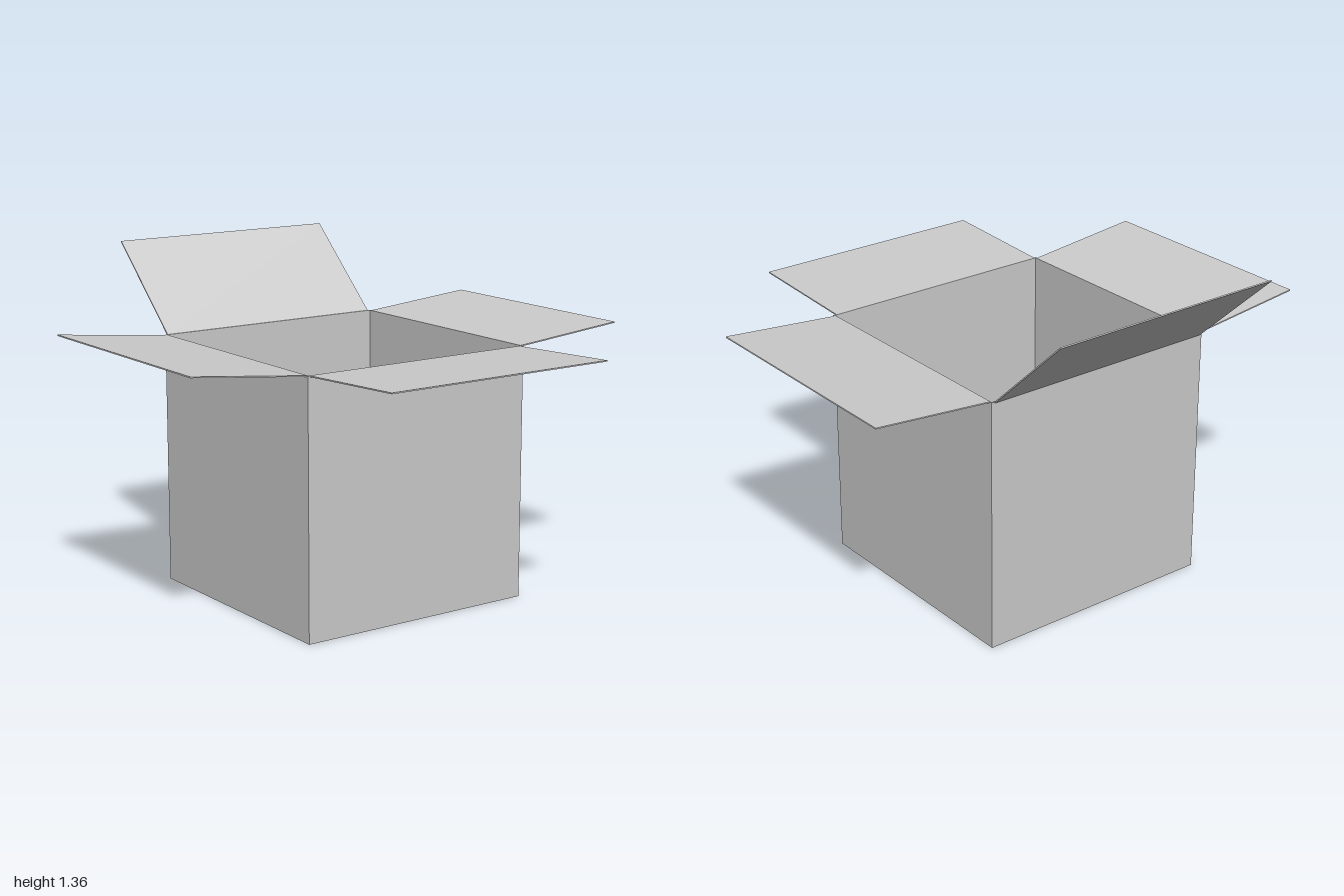
import * as THREE from 'three';

const material = new THREE.MeshStandardMaterial({ color: 0xcccccc, flatShading: true });
const T = 0.005; // cardboard thickness
const X0 = -0.511, X1 = 0.508, Z0 = -0.577, Z1 = 0.441, TOP = 1.025;

// Sheet of cardboard filling the given bounds
function panel(name, x0, x1, y0, y1, z0, z1) {
  const mesh = new THREE.Mesh(new THREE.BoxGeometry(x1 - x0, y1 - y0, z1 - z0), material);
  mesh.name = name;
  mesh.position.set((x0 + x1) / 2, (y0 + y1) / 2, (z0 + z1) / 2);
  return mesh;
}

// Flap hinged at a rim point: yaw turns it outward, rise tilts its free end up
function flap(name, x, z, yaw, rise, length = 0.497, width = 0.995) {
  const geometry = new THREE.BoxGeometry(width, T, length);
  geometry.translate(0, 0, length / 2);
  geometry.rotateX(-rise);
  const mesh = new THREE.Mesh(geometry, material);
  mesh.name = name;
  mesh.position.set(x, TOP - T / 2, z);
  mesh.rotation.y = yaw;
  return mesh;
}

export function createModel() {
  const box = new THREE.Group();
  box.name = 'openCardboardBox';

  // Floor and four walls
  box.add(
    panel('floor', X0, X1, 0, T, Z0, Z1),
    panel('frontWall', X0, X1, T, TOP, Z1 - T, Z1),
    panel('backWall', X0, X1, T, TOP, Z0, Z0 + T),
    panel('leftWall', X1 - T, X1, T, TOP, Z0 + T, Z1 - T),
    panel('rightWall', X0, X0 + T, T, TOP, Z0 + T, Z1 - T),
  );

  // Flaps folded open at slightly different angles
  const midX = -0.004, midZ = -0.067;
  box.add(
    flap('frontFlap', midX, Z1, 0, 0.047),
    flap('backFlap', midX, Z0, Math.PI, 0.75),
    flap('leftFlap', X1 - T, midZ, Math.PI / 2, 0.088),
    flap('rightFlap', X0 + T, midZ, -Math.PI / 2, 0.109),
  );
  return box;
}
